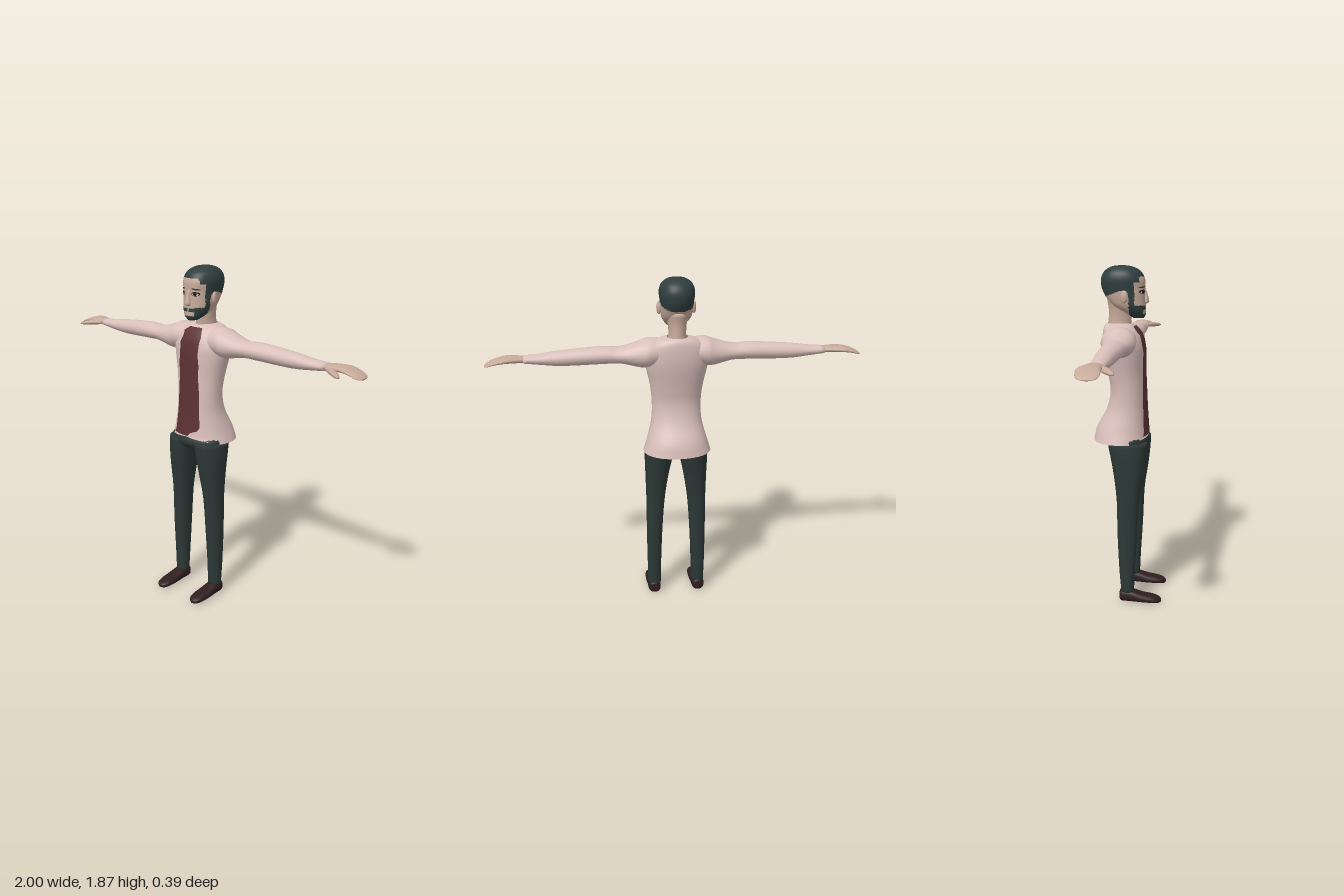
import * as THREE from 'three';

const mat = (name, color, side = THREE.FrontSide) => {
  const m = new THREE.MeshStandardMaterial({ color, side });
  m.name = name;
  return m;
};

// Smooth curve through cross-sections [position, centre1, centre2, radius1, radius2]
function sectionCurve(sections) {
  const centres = new THREE.CatmullRomCurve3(sections.map(s => new THREE.Vector3(s[0], s[1], s[2])), false, 'catmullrom', 0.5);
  const radii = new THREE.CatmullRomCurve3(sections.map(s => new THREE.Vector3(s[3], s[4], 0)), false, 'catmullrom', 0.5);
  return t => {
    const c = centres.getPoint(t), r = radii.getPoint(t);
    return [c.x, c.y, c.z, r.x, r.y];
  };
}

// Skin of superellipse rings along the x, y or z axis
function loft(sections, { axis = 'y', sides = 20, rows = 16, power = 2, caps = true } = {}) {
  const at = sectionCurve(sections), pos = [], index = [];
  const place = (p, a, b) => pos.push(...(axis === 'y' ? [a, p, b] : axis === 'x' ? [p, a, b] : [a, b, p]));
  const round = v => Math.sign(v) * Math.abs(v) ** (2 / power);
  const tri = (a, b, c) => (axis === 'y' ? index.push(a, b, c) : index.push(a, c, b));
  for (let i = 0; i <= rows; i++) {
    const [p, c1, c2, r1, r2] = at(i / rows);
    for (let j = 0; j < sides; j++) {
      const a = (j / sides) * Math.PI * 2;
      place(p, c1 + r1 * round(Math.cos(a)), c2 + r2 * round(Math.sin(a)));
    }
  }
  for (let i = 0; i < rows; i++) for (let j = 0; j < sides; j++) {
    const k = (j + 1) % sides, a = i * sides + j, b = i * sides + k;
    tri(a, a + sides, b);
    tri(b, a + sides, b + sides);
  }
  if (caps) for (const end of [0, 1]) {
    const [p, c1, c2] = at(end), centre = pos.length / 3, base = end * rows * sides;
    place(p, c1, c2);
    for (let j = 0; j < sides; j++) {
      const a = base + j, b = base + (j + 1) % sides;
      end ? tri(centre, b, a) : tri(centre, a, b);
    }
  }
  return surface(pos, index);
}

function surface(pos, index) {
  const g = new THREE.BufferGeometry();
  g.setAttribute('position', new THREE.Float32BufferAttribute(pos, 3));
  g.setIndex(index);
  g.computeVertexNormals();
  return g;
}

// Mirror across x, keeping faces outward
function mirrored(geometry) {
  const p = [...geometry.attributes.position.array].map((v, i) => (i % 3 ? v : -v));
  const ix = [...geometry.index.array];
  for (let i = 0; i < ix.length; i += 3) [ix[i + 1], ix[i + 2]] = [ix[i + 2], ix[i + 1]];
  return surface(p, ix);
}

// Front z of a lofted body at (x, y)
function frontOf(sections, power = 2) {
  const at = sectionCurve(sections);
  return (x, y) => {
    let lo = 0, hi = 1;
    for (let i = 0; i < 24; i++) {
      const m = (lo + hi) / 2;
      at(m)[0] < y ? (lo = m) : (hi = m);
    }
    const [, cx, cz, rx, rz] = at(lo);
    return cz + rz * Math.max(0, 1 - Math.min(1, Math.abs((x - cx) / rx)) ** power) ** (1 / power);
  };
}

// Sort triangles into material groups by their centres
function paint(geometry, count, rule) {
  const p = geometry.attributes.position, ix = geometry.index.array;
  const buckets = Array.from({ length: count }, () => []);
  for (let i = 0; i < ix.length; i += 3) {
    const t = [ix[i], ix[i + 1], ix[i + 2]];
    const mean = f => (f(t[0]) + f(t[1]) + f(t[2])) / 3;
    buckets[rule(mean(k => p.getX(k)), mean(k => p.getY(k)), mean(k => p.getZ(k)))].push(...t);
  }
  geometry.setIndex(buckets.flat());
  let start = 0;
  buckets.forEach((b, i) => { geometry.addGroup(start, b.length, i); start += b.length; });
  return geometry;
}

const TORSO = [
  [0.93, 0, -0.043, 0.185, 0.152], [1.0, 0, -0.038, 0.163, 0.14], [1.1, 0, -0.015, 0.138, 0.11],
  [1.2, 0, -0.006, 0.134, 0.096], [1.3, 0, -0.015, 0.144, 0.1], [1.4, 0, -0.025, 0.165, 0.11],
  [1.46, 0, -0.031, 0.172, 0.111], [1.52, 0, -0.042, 0.155, 0.1], [1.555, 0, -0.055, 0.11, 0.08],
  [1.57, 0, -0.058, 0.055, 0.06]];
const HEAD = [
  [1.598, 0, 0.05, 0.024, 0.028], [1.62, 0, 0.035, 0.052, 0.053], [1.66, 0, 0, 0.077, 0.087],
  [1.7, 0, -0.018, 0.085, 0.103], [1.75, 0, -0.031, 0.088, 0.116], [1.8, 0, -0.035, 0.093, 0.118],
  [1.84, 0, -0.037, 0.081, 0.099], [1.865, 0, -0.04, 0.05, 0.06], [1.874, 0, -0.04, 0.008, 0.01]];

export function createModel() {
  const model = new THREE.Group();
  const skin = mat('skin', 0xc6aa99), hair = mat('hair', 0x303e3e), dark = mat('eye dark', 0x1c1716);
  const jacketCloth = mat('jacket cloth', 0xd9bfba, THREE.DoubleSide), white = mat('eye white', 0xd8cfc8);
  const shirtCloth = mat('shirt cloth', 0x5c3232, THREE.DoubleSide);
  const trouserCloth = mat('trouser cloth', 0x2c3937), leather = mat('shoe leather', 0x301e20);

  const add = (name, geometry, material) => {
    const m = new THREE.Mesh(geometry, material);
    m.name = name;
    model.add(m);
  };
  const pair = (name, geometry, material) => {
    add(name + 'Left', geometry, material);
    add(name + 'Right', mirrored(geometry), material);
  };

  // Jacket body, with the front hem raised over the trousers
  const jacket = loft(TORSO, { sides: 36, rows: 36, power: 2.2, caps: false });
  const jp = jacket.attributes.position;
  for (let i = 0; i < jp.count; i++) {
    if (jp.getY(i) < 0.96 && jp.getZ(i) > 0.07) jp.setY(i, Math.max(jp.getY(i), 0.96 - Math.abs(jp.getX(i)) * 0.1));
  }
  jacket.computeVertexNormals();
  add('jacket', jacket, jacketCloth);

  // Shirt panel following the chest: rows of y, left edge, right edge
  const chest = frontOf(TORSO, 2.2), pos = [], index = [], across = 8;
  const panel = [[0.965, -0.1, 0.015], [0.985, -0.088, 0.03], [1.0, -0.086, 0.07], [1.02, -0.084, 0.084],
    [1.1, -0.076, 0.078], [1.2, -0.072, 0.075], [1.3, -0.068, 0.066], [1.36, -0.07, 0.07], [1.42, -0.064, 0.064],
    [1.48, -0.068, 0.066], [1.51, -0.056, 0.068], [1.535, -0.066, 0.058], [1.555, -0.04, 0.045]];
  panel.forEach(([y, l, r], i) => {
    for (let j = 0; j <= across; j++) {
      const x = l + (r - l) * j / across, a = i * (across + 1) + j, b = a + across + 1;
      pos.push(x, y, chest(x, y) + 0.006);
      if (i < panel.length - 1 && j < across) index.push(a, a + 1, b, a + 1, b + 1, b);
    }
  });
  add('shirtFront', surface(pos, index), shirtCloth);

  // Sleeves, hands and thumbs
  pair('sleeve', loft([[0.06, 1.49, -0.035, 0.065, 0.08], [0.15, 1.485, -0.036, 0.077, 0.094],
    [0.2, 1.476, -0.032, 0.069, 0.088], [0.3, 1.473, -0.028, 0.044, 0.068], [0.4, 1.475, -0.028, 0.046, 0.061],
    [0.6, 1.467, -0.03, 0.041, 0.05], [0.72, 1.465, -0.03, 0.028, 0.043], [0.8, 1.467, -0.032, 0.02, 0.039]],
  { axis: 'x', rows: 24 }), jacketCloth);
  pair('hand', loft([[0.78, 1.467, -0.032, 0.015, 0.033], [0.84, 1.471, -0.037, 0.018, 0.044],
    [0.9, 1.471, -0.045, 0.016, 0.055], [0.95, 1.461, -0.041, 0.012, 0.056], [0.985, 1.448, -0.039, 0.008, 0.048],
    [1.0, 1.442, -0.039, 0.004, 0.025]], { axis: 'x' }), skin);
  pair('thumb', loft([[0.81, 1.465, -0.012, 0.012, 0.018], [0.86, 1.463, 0.018, 0.014, 0.025],
    [0.9, 1.458, 0.045, 0.012, 0.02], [0.927, 1.455, 0.063, 0.005, 0.008]], { axis: 'x', sides: 12, rows: 9 }), skin);

  // Trousers and shoes
  add('trouserSeat', loft([[0.875, 0, 0, 0.08, 0.05], [0.89, 0, 0, 0.15, 0.09], [0.93, 0, 0, 0.174, 0.113],
    [0.98, 0, 0, 0.152, 0.092], [1.04, 0, -0.01, 0.12, 0.08]], { sides: 28 }), trouserCloth);
  pair('trouserLeg', loft([[0.06, 0.128, 0.007, 0.038, 0.036], [0.1, 0.128, 0.007, 0.038, 0.039],
    [0.2, 0.128, 0.005, 0.04, 0.045], [0.4, 0.125, 0.006, 0.045, 0.056], [0.6, 0.118, 0.008, 0.052, 0.063],
    [0.75, 0.109, 0.01, 0.064, 0.083], [0.86, 0.099, 0.006, 0.077, 0.1], [0.93, 0.09, 0, 0.084, 0.11]],
  { rows: 21, power: 2.2 }), trouserCloth);
  pair('shoe', loft([[-0.036, 0.13, 0.034, 0.02, 0.026], [-0.02, 0.13, 0.035, 0.035, 0.035],
    [0.03, 0.13, 0.034, 0.038, 0.034], [0.09, 0.13, 0.025, 0.042, 0.025], [0.15, 0.13, 0.02, 0.041, 0.02],
    [0.185, 0.13, 0.015, 0.03, 0.015], [0.2, 0.13, 0.012, 0.01, 0.008]], { axis: 'z', rows: 18, power: 2.6 }), leather);

  // Head with painted hair, sideburns and beard
  const isHair = (x, y, z) => {
    const ax = Math.abs(x);
    if (z < 0.005) return z < -0.005 ? y > 1.745 + Math.min(0, z + 0.04) * 0.38 : y > 1.735;
    if (y > (z > 0.06 ? 1.815 : 1.79)) return true;
    if (z < 0.035) return true;
    if (y < 1.622 || (y < 1.667 && ax > 0.036)) return true;
    return y > 1.643 && y < 1.662 && ax > 0.006;
  };
  const head = loft(HEAD, { sides: 56, rows: 64, power: 2.2 });
  add('head', paint(head, 2, (x, y, z) => (isHair(x, y, z) ? 1 : 0)), [skin, hair]);
  add('neck', loft([[1.53, 0, -0.055, 0.056, 0.065], [1.58, 0, -0.052, 0.047, 0.063],
    [1.64, 0, -0.05, 0.05, 0.063], [1.7, 0, -0.055, 0.06, 0.068]], { rows: 9 }), skin);
  add('nose', loft([[1.675, 0, 0.083, 0.012, 0.01], [1.685, 0, 0.088, 0.018, 0.018],
    [1.72, 0, 0.084, 0.011, 0.014], [1.757, 0, 0.08, 0.007, 0.006]], { sides: 12, rows: 9 }), skin);
  const ear = new THREE.SphereGeometry(1, 14, 10).scale(0.011, 0.034, 0.02).rotateY(0.25).translate(0.093, 1.714, -0.017);
  pair('ear', ear, skin);

  // Eyes and brows laid on the face
  const face = frontOf(HEAD, 2.2);
  const decal = (x, y, w, h, lift, tilt = 0) => {
    const g = new THREE.CircleGeometry(1, 18).scale(w, h, 1).rotateZ(tilt).translate(x, y, 0);
    const p = g.attributes.position;
    for (let i = 0; i < p.count; i++) p.setZ(i, face(p.getX(i), p.getY(i)) + lift);
    g.computeVertexNormals();
    return g;
  };
  pair('eyeLid', decal(0.042, 1.738, 0.02, 0.011, 0.003), dark);
  pair('eyeWhite', decal(0.042, 1.736, 0.015, 0.007, 0.004), white);
  pair('iris', decal(0.042, 1.737, 0.008, 0.008, 0.005), dark);
  pair('brow', decal(0.044, 1.762, 0.021, 0.004, 0.003, -0.1), hair);
  return model;
}
